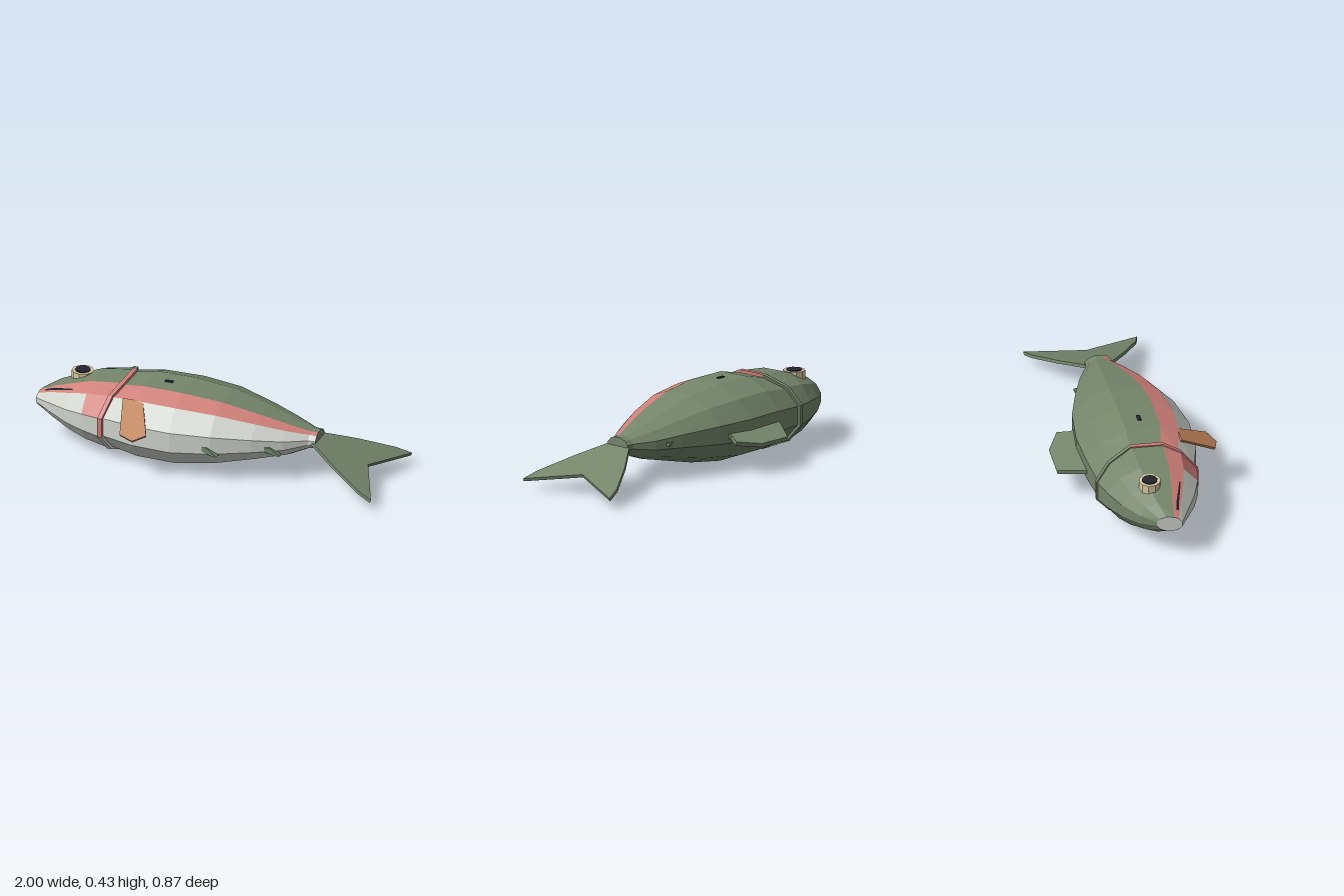
import * as THREE from 'three';

const material = (name, color, extra = {}) => {
  const m = new THREE.MeshStandardMaterial({ color, ...extra });
  m.name = name;
  return m;
};

// Angles of the twelve corners of a cross-section, from the belly (+z) over the upper flank
const ANGLES = [15, 48, 70, 105, 135, 165, 195, 225, 255, 285, 315, 345].map(THREE.MathUtils.degToRad);
const SIDES = ANGLES.length;
const EDGE = Math.cos(Math.PI / 12);

// Station: [x, yBottom, yTop, zBack, zBelly, bend, slant]
function ring([x, y0, y1, z0, z1, bend = 0, slant = 0]) {
  return ANGLES.map(a => new THREE.Vector3(
    x - bend * Math.abs(Math.cos(a)) - slant * Math.cos(a),
    (y0 + y1) / 2 + (y1 - y0) / 2 / EDGE * Math.sin(a),
    (z0 + z1) / 2 + (z1 - z0) / 2 / EDGE * Math.cos(a)));
}

// Faceted skin through the stations; pick(station, side) gives a material index
function loft(name, stations, materials, pick, capped = true) {
  const rings = stations.map(ring);
  const faces = materials.map(() => []);
  const tri = (m, ...pts) => pts.forEach(p => faces[m].push(p.x, p.y, p.z));
  for (let i = 0; i < rings.length - 1; i++) {
    for (let k = 0; k < SIDES; k++) {
      const n = (k + 1) % SIDES, A = rings[i], B = rings[i + 1], m = pick(i, k);
      tri(m, A[k], B[k], B[n]);
      tri(m, A[k], B[n], A[n]);
    }
  }
  if (capped) {
    [rings[0], rings[rings.length - 1]].forEach((R, end) => {
      const c = R.reduce((s, p) => s.add(p), new THREE.Vector3()).divideScalar(SIDES);
      for (let k = 0; k < SIDES; k++) {
        const n = (k + 1) % SIDES;
        if (end) tri(0, c, R[n], R[k]);
        else tri(1, c, R[k], R[n]);
      }
    });
  }
  const geo = new THREE.BufferGeometry();
  geo.setAttribute('position', new THREE.Float32BufferAttribute(faces.flat(), 3));
  let start = 0;
  faces.forEach((f, m) => {
    if (f.length) geo.addGroup(start, f.length / 3, m);
    start += f.length / 3;
  });
  geo.computeVertexNormals();
  const mesh = new THREE.Mesh(geo, materials);
  mesh.name = name;
  return mesh;
}

// Flat fin cut from an outline, centred on its own plane
function fin(name, mat, outline, thickness) {
  const shape = new THREE.Shape(outline.map(p => new THREE.Vector2(...p)));
  const geo = new THREE.ExtrudeGeometry(shape, { depth: thickness, bevelEnabled: false });
  geo.translate(0, 0, -thickness / 2);
  const mesh = new THREE.Mesh(geo, mat);
  mesh.name = name;
  return mesh;
}

export function createModel() {
  const green = material('olive green', 0x75866b);
  const silver = material('silver', 0xcfd3cc);
  const pink = material('salmon pink', 0xcf8079);
  const orange = material('orange brown', 0xc08459);
  const cream = material('cream', 0xd6c8a0);
  const ink = material('ink black', 0x20242c, { side: THREE.DoubleSide });
  const skin = [green, silver, pink];
  const fish = new THREE.Group();
  fish.name = 'fish';

  // Back is green, belly silver, with one pink stripe along the upper flank
  const bodyColour = (i, k) => (k === 1 ? 2 : k >= 2 && k <= 7 ? 0 : 1);

  const bodyStations = [
    [-0.46, 0.015, 0.397, -0.272, 0.255, 0.1],
    [-0.37, 0, 0.425, -0.292, 0.312],
    [-0.15, 0, 0.425, -0.297, 0.325],
    [0.07, 0.033, 0.402, -0.268, 0.292],
    [0.28, 0.083, 0.35, -0.2, 0.218],
    [0.435, 0.12, 0.303, -0.14, 0.143],
    [0.55, 0.168, 0.267, -0.078, 0.07],
    [0.59, 0.17, 0.265, -0.075, 0.068],
  ];
  fish.add(loft('body', bodyStations, skin, bodyColour));

  // Head with a pink cheek just ahead of the gill
  const headStations = [
    [-0.985, 0.173, 0.262, -0.045, 0.09, 0, 0.0155],
    [-0.9, 0.12, 0.308, -0.125, 0.145],
    [-0.79, 0.072, 0.35, -0.2, 0.205],
    [-0.68, 0.035, 0.388, -0.25, 0.248],
    [-0.475, 0.006, 0.408, -0.28, 0.27, 0.1],
  ];
  fish.add(loft('head', headStations, skin, (i, k) => (i === 3 && k === 0 ? 2 : bodyColour(i, k))));

  // Raised gill band
  const outer = [0.001, 0.414, -0.286, 0.276, 0.1], inner = [0.035, 0.378, -0.25, 0.24, 0.1];
  const bandStations = [[-0.482, ...inner], [-0.482, ...outer], [-0.457, ...outer], [-0.457, ...inner]];
  fish.add(loft('gillBand', bandStations, skin,
    (i, k) => (k <= 2 || k === 11 ? 2 : k <= 7 ? 0 : 1), false));

  // Mouth: thin strip lying on the stripe side of the head; [station, lower, upper]
  const headRings = headStations.map(ring);
  const onHead = (s, t) => {
    const i = Math.floor(s), f = s - i;
    const at = j => headRings[j][1].clone().lerp(headRings[j][2], t);
    return at(i).lerp(at(i + 1), f).add(new THREE.Vector3(0, 0.004, 0.003));
  };
  const mouthPoints = [];
  [[0.45, 0.25, 0.6], [1, 0.28, 0.58], [1.5, 0.26, 0.46], [2.15, 0.25, 0.36]]
    .forEach(([s, a, b]) => mouthPoints.push(onHead(s, a), onHead(s, b)));
  const mouthGeo = new THREE.BufferGeometry().setFromPoints(mouthPoints);
  mouthGeo.setIndex([0, 2, 4].flatMap(i => [i, i + 2, i + 3, i, i + 3, i + 1]));
  mouthGeo.computeVertexNormals();
  const mouth = new THREE.Mesh(mouthGeo, ink);
  mouth.name = 'mouth';
  fish.add(mouth);

  // Eye
  const eye = new THREE.Group();
  eye.name = 'eye';
  const rim = new THREE.Mesh(new THREE.CylinderGeometry(0.06, 0.06, 0.07, 10).toNonIndexed(), cream);
  rim.geometry.computeVertexNormals();
  rim.name = 'eyeRim';
  rim.position.y = 0.34;
  const pupil = new THREE.Mesh(new THREE.CylinderGeometry(0.042, 0.042, 0.006, 10), ink);
  pupil.name = 'pupil';
  pupil.position.y = 0.377;
  eye.add(rim, pupil);
  eye.position.set(-0.78, 0, -0.04);
  fish.add(eye);

  // Small dark spot on the flank
  const spot = new THREE.Mesh(new THREE.BoxGeometry(0.046, 0.006, 0.02), ink);
  spot.name = 'spot';
  spot.position.set(-0.262, 0.424, 0.022);
  fish.add(spot);

  // Forked tail drooping to the rear
  const tail = fin('tailFin', green, [
    [0, -0.07], [0.03, -0.078], [0.2, -0.19], [0.39, -0.292], [0.478, -0.315],
    [0.336, 0], [0.478, 0.308], [0.39, 0.283], [0.2, 0.18], [0.03, 0.072], [0, 0.065],
  ], 0.018);
  tail.geometry.rotateX(Math.PI / 2);
  tail.rotation.z = -0.36;
  tail.position.set(0.55, 0.222, 0);
  fish.add(tail);

  // Back fins, pointing to -z and slightly down
  const dorsal = fin('dorsalFin', green,
    [[-0.41, -0.03], [0.02, -0.03], [0, 0.02], [0.035, 0.09], [-0.09, 0.165], [-0.29, 0.17], [-0.39, 0.01]], 0.024);
  dorsal.rotation.x = Math.atan2(-1, -0.28);
  dorsal.position.set(0, 0.205, -0.27);
  const adipose = fin('adiposeFin', green, [[0.28, -0.03], [0.37, -0.03], [0.38, 0.03], [0.31, 0.015]], 0.016);
  adipose.rotation.x = Math.atan2(-1, -0.1);
  adipose.position.set(0, 0.213, -0.157);
  fish.add(dorsal, adipose);

  // Pectoral fin, sloping out and down from the flank
  const pectoral = fin('pectoralFin', orange,
    [[-0.455, -0.01], [-0.34, -0.01], [-0.255, 0.2], [-0.32, 0.248], [-0.4, 0.22]], 0.012);
  pectoral.rotation.x = Math.atan2(0.215, -0.13);
  pectoral.position.set(0, 0.368, 0.22);
  fish.add(pectoral);

  // Two small leaf-shaped belly fins
  [['pelvicFin', 0.05, 0.286], ['analFin', 0.363, 0.17]].forEach(([name, x, z], i) => {
    const leaf = fin(name, green,
      [[-0.065, 0.005], [0.045, -0.025], [0.065, -0.022], [0.01, 0.018], [-0.06, 0.022]], 0.03);
    leaf.rotation.y = i ? 0.12 : -0.12;
    leaf.position.set(x, 0.188, z);
    fish.add(leaf);
  });

  return fish;
}
